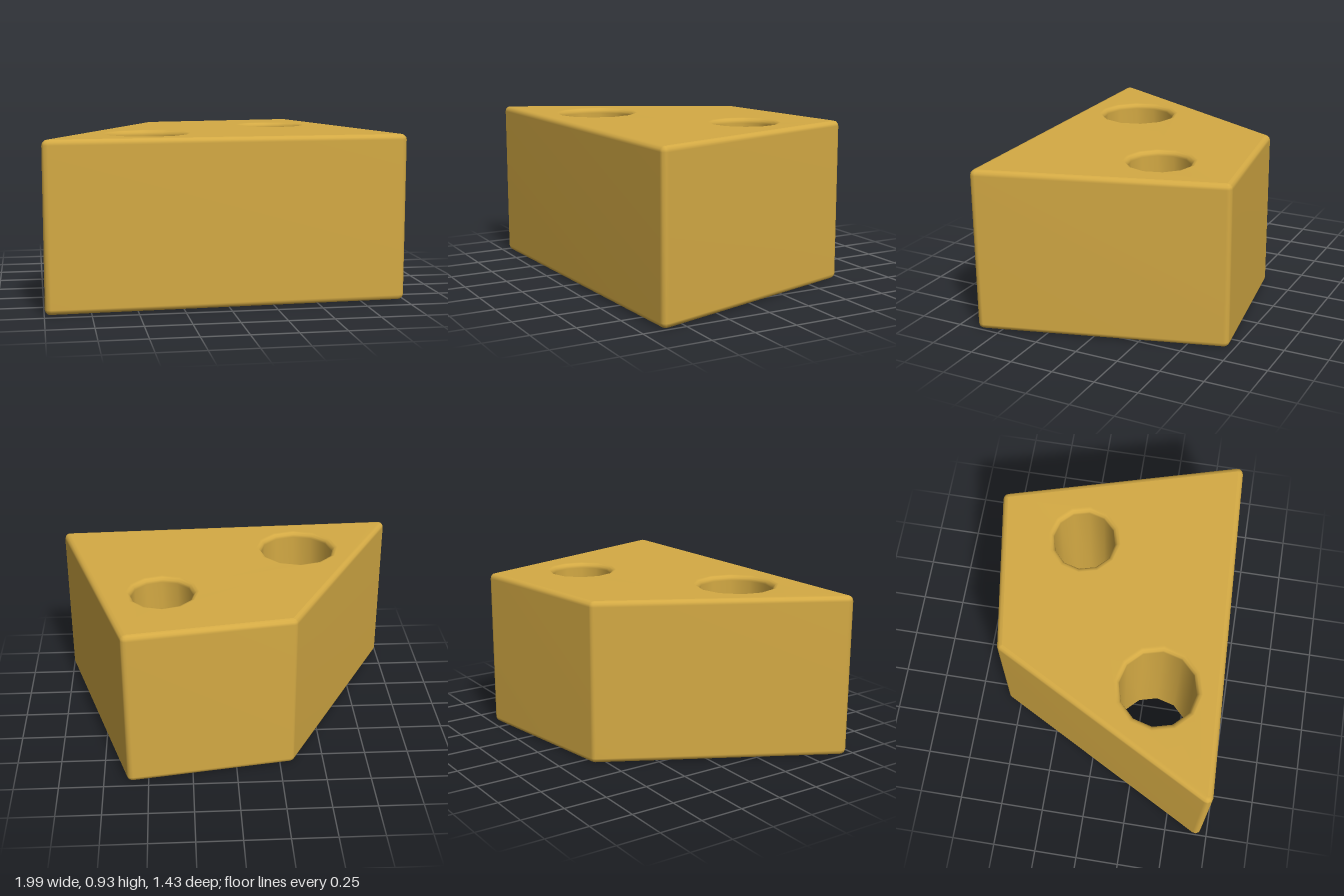
import * as THREE from 'three';
import { mergeVertices } from 'three/addons/utils/BufferGeometryUtils.js';

const HEIGHT = 0.93;
const BEVEL = 0.03;
const CORNER_RADIUS = 0.032;

// Polygon outline with each corner replaced by a short arc
function roundedOutline(corners, radius, steps) {
  const points = [];
  corners.forEach((corner, i) => {
    const n = corners.length;
    const toPrev = corners[(i + n - 1) % n].clone().sub(corner).normalize();
    const toNext = corners[(i + 1) % n].clone().sub(corner).normalize();
    const half = Math.acos(toPrev.dot(toNext)) / 2;
    const bisector = toPrev.clone().add(toNext).normalize();
    const centre = corner.clone().addScaledVector(bisector, radius / Math.sin(half));
    const tangent = radius / Math.tan(half);
    const start = corner.clone().addScaledVector(toPrev, tangent).sub(centre);
    const end = corner.clone().addScaledVector(toNext, tangent).sub(centre);
    const a0 = start.angle();
    let sweep = end.angle() - a0;
    if (sweep > Math.PI) sweep -= 2 * Math.PI;
    if (sweep < -Math.PI) sweep += 2 * Math.PI;
    for (let k = 0; k <= steps; k++) {
      const a = a0 + (sweep * k) / steps;
      points.push(new THREE.Vector2(
        centre.x + radius * Math.cos(a), centre.y + radius * Math.sin(a)));
    }
  });
  return points;
}

// Twelve-sided hole
function holePath(x, z, radius) {
  const points = [];
  for (let i = 0; i < 12; i++) {
    const a = (i / 12) * Math.PI * 2;
    points.push(new THREE.Vector2(x + radius * Math.cos(a), z + radius * Math.sin(a)));
  }
  return new THREE.Path(points);
}

export function createModel() {
  const group = new THREE.Group();
  group.name = 'drilledBlock';

  const ochre = new THREE.MeshStandardMaterial({ color: 0xd4aa44 });
  ochre.name = 'ochre';

  // Four-sided footprint in x and z, pierced by two holes
  const corners = [[-1.02, 0.714], [1.008, 0.635], [0.613, -0.722], [-0.325, -0.577]]
    .map(([x, z]) => new THREE.Vector2(x, z));
  const footprint = new THREE.Shape(roundedOutline(corners, CORNER_RADIUS, 3));
  footprint.holes.push(holePath(-0.413, 0.335, 0.215), holePath(0.398, -0.208, 0.177));

  const extruded = new THREE.ExtrudeGeometry(footprint, {
    depth: HEIGHT - 2 * BEVEL,
    bevelThickness: BEVEL,
    bevelSize: BEVEL,
    bevelOffset: -BEVEL,
    bevelSegments: 3,
  });
  extruded.rotateX(Math.PI / 2);
  extruded.translate(0, HEIGHT - BEVEL, 0);

  // Weld the corners so area-weighted normals keep faces flat and edges soft
  extruded.deleteAttribute('uv');
  extruded.deleteAttribute('normal');
  extruded.clearGroups();
  const geometry = mergeVertices(extruded, 1e-4);
  geometry.computeVertexNormals();

  const block = new THREE.Mesh(geometry, ochre);
  block.name = 'block';
  group.add(block);
  return group;
}
